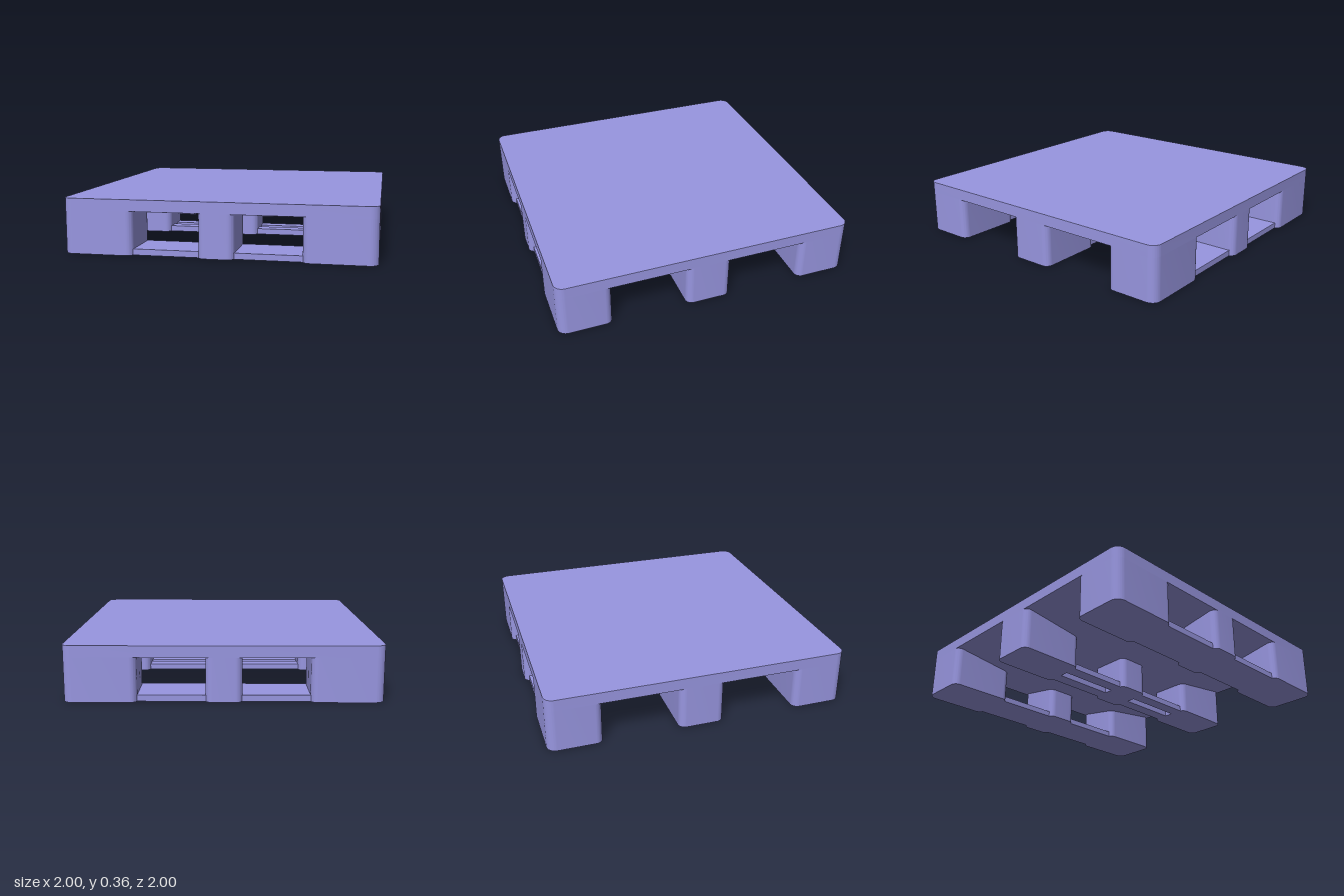
import * as THREE from 'three';
import { toCreasedNormals } from 'three/addons/utils/BufferGeometryUtils.js';
import { ConvexGeometry } from 'three/addons/geometries/ConvexGeometry.js';

const material = new THREE.MeshStandardMaterial({ color: 0x9896e0 });

// Key sizes: block edges along x and z, and heights
const X_IN = 0.115, X_OUT = 0.54, Z_IN = 0.15, Z_OUT = 0.65;
const RAIL_TOP = 0.04, DECK_LOW = 0.225, DECK_EDGE = 0.285, DECK_TOP = 0.36;
const CORNER = 0.06, RADIUS = 0.045, RECESS = 0.03;

// Upright prism with a rounded rectangular plan, between heights y0 and y1
function roundedPrism(name, [x0, x1], [z0, z1], y0, y1, radiusAt) {
  const s = new THREE.Shape();
  const corners = [[x1, z1, 0], [x0, z1, 1], [x0, z0, 2], [x1, z0, 3]];
  for (const [x, z, quarter] of corners) {
    const r = radiusAt(x, z);
    const cx = x === x1 ? x - r : x + r;
    const cz = z === z1 ? z - r : z + r;
    const start = quarter * Math.PI / 2;
    s.absarc(cx, cz, r, start, start + Math.PI / 2, false);
  }
  let g = new THREE.ExtrudeGeometry(s, { depth: y1 - y0, bevelEnabled: false, curveSegments: 8 });
  g.rotateX(Math.PI / 2).translate(0, y1, 0);
  g = toCreasedNormals(g, 0.6);
  const mesh = new THREE.Mesh(g, material);
  mesh.name = name;
  return mesh;
}

// Straight bar between two blocks
function bar(name, [x0, x1], [z0, z1]) {
  const g = new THREE.BoxGeometry(x1 - x0, RAIL_TOP, z1 - z0);
  g.translate((x0 + x1) / 2, RAIL_TOP / 2, (z0 + z1) / 2);
  const mesh = new THREE.Mesh(g, material);
  mesh.name = name;
  return mesh;
}

export function createModel() {
  const pallet = new THREE.Group();
  pallet.name = 'pallet';

  // Deck slab
  pallet.add(roundedPrism('deck', [-1, 1], [-1, 1], DECK_EDGE, DECK_TOP, () => CORNER));

  // Underside, ramping up from the flat middle to the deck edges
  const points = [];
  for (const sx of [-1, 1]) for (const sz of [-1, 1]) {
    points.push(
      new THREE.Vector3(sx, DECK_EDGE, sz * (1 - CORNER)),
      new THREE.Vector3(sx * (1 - CORNER), DECK_EDGE, sz),
      new THREE.Vector3(sx * X_OUT, DECK_LOW, sz * Z_OUT));
  }
  const underside = new THREE.Mesh(new ConvexGeometry(points), material);
  underside.name = 'deckUnderside';
  pallet.add(underside);

  // Three by three blocks, the outermost corners matching the deck
  const xSpans = [[-1, -X_OUT], [-X_IN, X_IN], [X_OUT, 1]];
  const zSpans = [[-1, -Z_OUT], [-Z_IN, Z_IN], [Z_OUT, 1]];
  const blockRadius = (x, z) => (Math.abs(x) === 1 && Math.abs(z) === 1 ? CORNER : RADIUS);
  for (const xs of xSpans) for (const zs of zSpans) {
    pallet.add(roundedPrism('block', xs, zs, 0, DECK_EDGE, blockRadius));
  }

  // Bottom rails joining the blocks, slightly recessed; the middle one has a slot
  const railSpans = [
    [-1 + RECESS, -Z_OUT - RECESS], [Z_OUT + RECESS, 1 - RECESS],
    [-Z_IN + RECESS, -0.03], [0.03, Z_IN - RECESS],
  ];
  const gap = [X_IN - 0.05, X_OUT + 0.05];
  for (const xs of [gap, [-gap[1], -gap[0]]]) for (const zs of railSpans) {
    pallet.add(bar('bottomRail', xs, zs));
  }
  return pallet;
}
